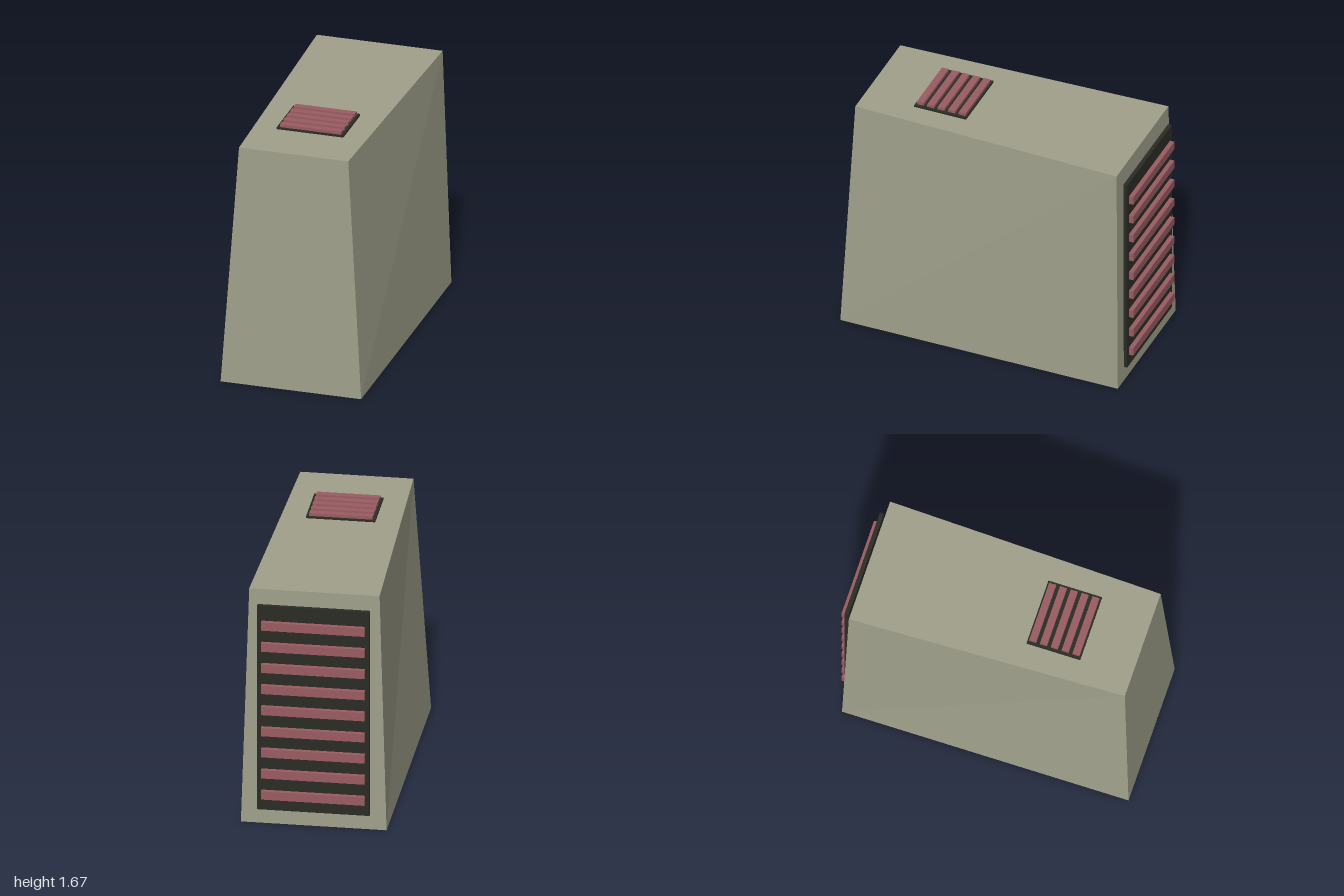
import * as THREE from 'three';

const mat = (color) => new THREE.MeshStandardMaterial({ color, flatShading: true });

function addBox(parent, name, material, size, pos) {
  const mesh = new THREE.Mesh(new THREE.BoxGeometry(...size), material);
  mesh.name = name;
  mesh.position.set(...pos);
  parent.add(mesh);
}

export function createModel() {
  const model = new THREE.Group();
  model.name = 'ventedHousing';
  const shell = mat(0xa0a08c), dark = mat(0x2c2c26), red = mat(0x9a5c62);

  // Tapered housing: a box whose top is narrower, most of all at the front
  const geo = new THREE.BoxGeometry(1, 1, 1);
  const p = geo.attributes.position;
  for (let i = 0; i < p.count; i++) {
    const top = p.getY(i) > 0, front = p.getZ(i) > 0;
    const halfWidth = top ? (front ? 0.37 : 0.426) : 0.476;
    const z = front ? (top ? 0.94 : 1) : (top ? -0.92 : -0.95);
    p.setXYZ(i, Math.sign(p.getX(i)) * halfWidth, top ? 1.643 : 0, z);
  }
  geo.computeVertexNormals();
  const housing = new THREE.Mesh(geo, shell);
  housing.name = 'housing';
  model.add(housing);

  // Small vent on the top
  const topVent = new THREE.Group();
  topVent.name = 'topVent';
  addBox(topVent, 'topVentPlate', dark, [0.452, 0.015, 0.365], [0, 1.648, 0.406]);
  for (let i = 0; i < 5; i++) {
    addBox(topVent, 'topVentSlat', red, [0.414, 0.02, 0.048], [0, 1.665, 0.259 + i * 0.0737]);
  }
  model.add(topVent);

  // Tall vent on the back
  const backVent = new THREE.Group();
  backVent.name = 'backVent';
  addBox(backVent, 'backVentPlate', dark, [0.736, 1.443, 0.027], [0, 0.824, -0.956]);
  for (let i = 0; i < 9; i++) {
    addBox(backVent, 'backVentSlat', red, [0.676, 0.058, 0.031], [0, 0.215 + i * 0.1497, -0.9845]);
  }
  model.add(backVent);

  return model;
}
